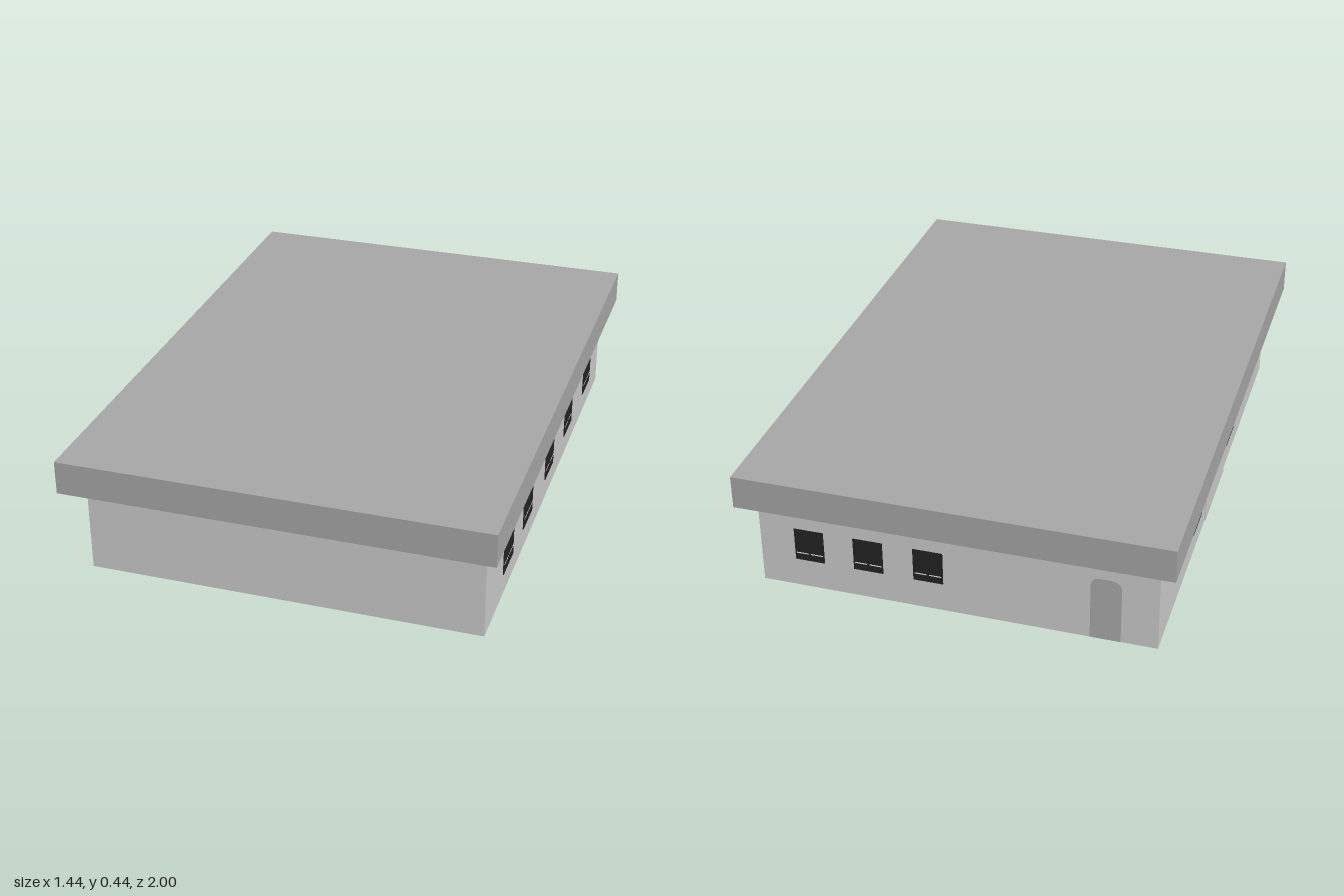
import * as THREE from 'three';

const wallMat = new THREE.MeshStandardMaterial({ color: 0xc9c9c9 });
const roofMat = new THREE.MeshStandardMaterial({ color: 0xa5a5a5 });
const glassMat = new THREE.MeshStandardMaterial({ color: 0x222222 });
const trimMat = new THREE.MeshStandardMaterial({ color: 0xf0f0f0 });
const doorMat = new THREE.MeshStandardMaterial({ color: 0xa8a8a8 });
wallMat.name = 'wall';
roofMat.name = 'roof';
glassMat.name = 'darkWindow';
trimMat.name = 'paleTrim';
doorMat.name = 'doorGrey';

// Wall planes
const LEFT = 0.67, RIGHT = -0.66, FRONT = 0.91, BACK = -0.928, TOP = 0.321;

// Box given by its low and high corners
function slab(name, mat, [x0, y0, z0], [x1, y1, z1]) {
  const mesh = new THREE.Mesh(new THREE.BoxGeometry(x1 - x0, y1 - y0, z1 - z0), mat);
  mesh.position.set((x0 + x1) / 2, (y0 + y1) / 2, (z0 + z1) / 2);
  mesh.name = name;
  return mesh;
}

// Window facing +z: dark plate with a pale lower rail split by the mullion
function makeWindow(width, height) {
  const g = new THREE.Group();
  g.name = 'window';
  const w = width / 2, h = height / 2;
  g.add(slab('pane', glassMat, [-w, -h, -0.002], [w, h, 0.003]));
  const railY = -h + height * 0.23;
  for (const s of [-1, 1]) {
    const a = s * 0.004, b = s * (w - 0.005);
    g.add(slab('rail', trimMat, [Math.min(a, b), railY - 0.002, 0], [Math.max(a, b), railY + 0.002, 0.0035]));
  }
  return g;
}

export function createModel() {
  const model = new THREE.Group();
  model.name = 'house';

  model.add(slab('walls', wallMat, [RIGHT, 0, BACK], [LEFT, TOP, FRONT]));
  model.add(slab('roof', roofMat, [-0.72, TOP, -1], [0.72, 0.435, 1]));

  const addWindow = (w, h, x, y, z, turn) => {
    const win = makeWindow(w, h);
    win.position.set(x, y, z);
    win.rotation.y = turn;
    model.add(win);
  };

  // Long side walls
  for (const z of [0.607, 0.323, -0.018, -0.345, -0.693]) addWindow(0.133, 0.155, LEFT, 0.157, z, Math.PI / 2);
  for (const z of [-0.341, 0.24]) addWindow(0.133, 0.155, RIGHT, 0.157, z, -Math.PI / 2);

  // Back wall
  for (const x of [0.5, 0.298, 0.095]) addWindow(0.1, 0.118, x, 0.164, BACK, Math.PI);

  // Wide door panel on the right side
  model.add(slab('garageDoor', wallMat, [RIGHT - 0.005, 0.004, -0.205], [RIGHT + 0.002, 0.192, 0.125]));

  // Back door with rounded top corners
  const w = 0.05, h = 0.232, r = 0.035;
  const outline = new THREE.Shape();
  outline.moveTo(-w, 0);
  outline.lineTo(w, 0);
  outline.lineTo(w, h - r);
  outline.quadraticCurveTo(w, h, w - r, h);
  outline.lineTo(-w + r, h);
  outline.quadraticCurveTo(-w, h, -w, h - r);
  outline.closePath();
  const door = new THREE.Mesh(
    new THREE.ExtrudeGeometry(outline, { depth: 0.004, bevelEnabled: false, curveSegments: 8 }), doorMat);
  door.name = 'backDoor';
  door.position.set(-0.49, 0.002, BACK + 0.001);
  door.rotation.y = Math.PI;
  model.add(door);

  return model;
}
